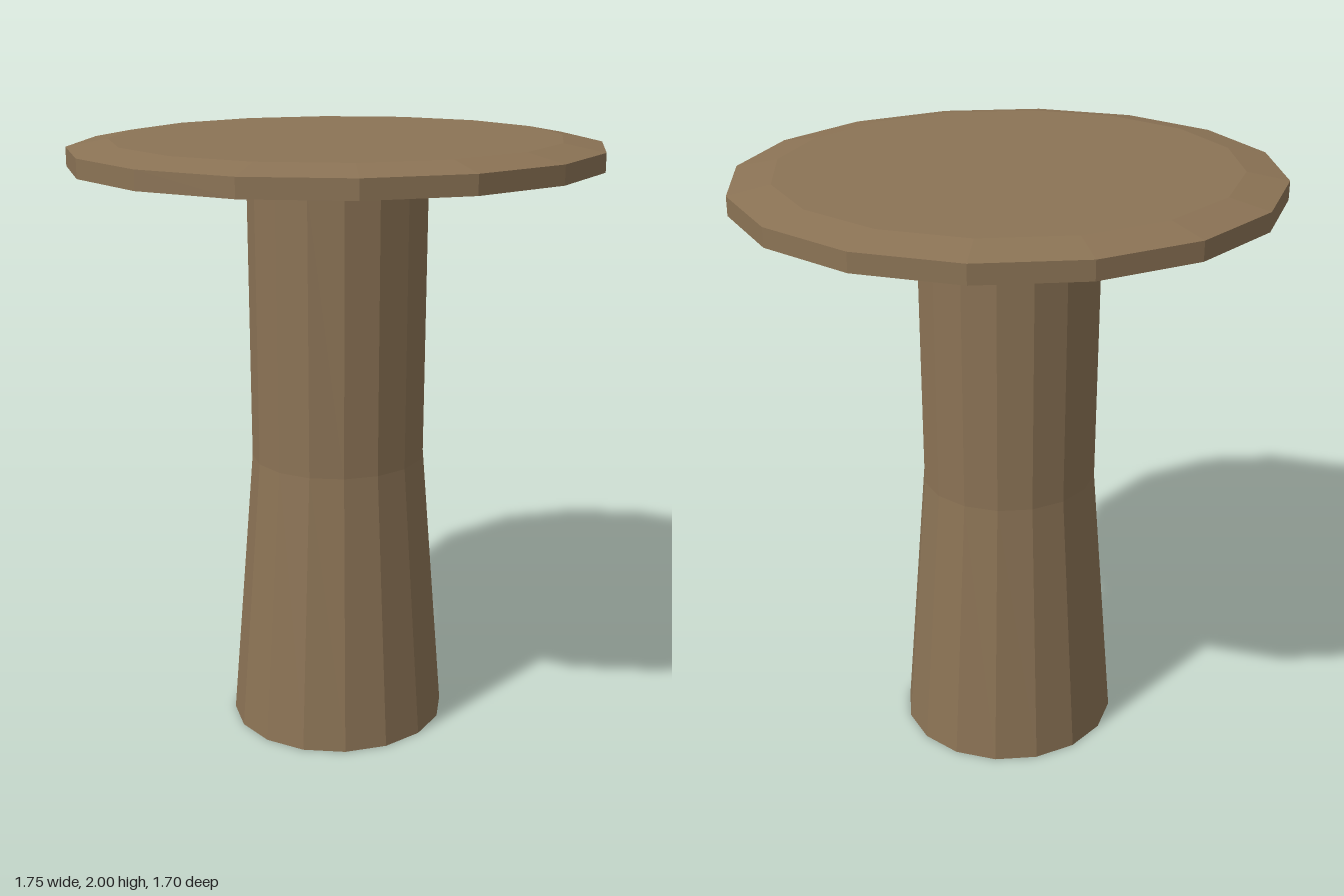
import * as THREE from 'three';

const SIDES = 16;
const DEPTH = 0.972; // the round cross-section is slightly narrower in z

// Faceted solid of revolution from [radius, height] pairs, bottom to top
function turned(name, profile, material) {
  const points = profile.map(([r, y]) => new THREE.Vector2(r, y));
  const geometry = new THREE.LatheGeometry(points, SIDES);
  geometry.scale(1, 1, DEPTH);
  const mesh = new THREE.Mesh(geometry, material);
  mesh.name = name;
  return mesh;
}

export function createModel() {
  const wood = new THREE.MeshStandardMaterial({
    color: 0x8b7355, flatShading: true, side: THREE.DoubleSide,
  });
  const table = new THREE.Group();
  table.name = 'pedestalTable';

  // Hollow pedestal, open at the foot: tapered base, straight shaft, flared collar
  table.add(turned('pedestal', [
    [0.372, 0], [0.295, 0.94], [0.3, 1.865], [0.375, 1.915],
  ], wood));

  // Closed round top with a bevelled upper rim
  table.add(turned('tableTop', [
    [0, 1.915], [0.875, 1.915], [0.875, 1.975], [0.74, 2], [0, 2],
  ], wood));

  return table;
}
